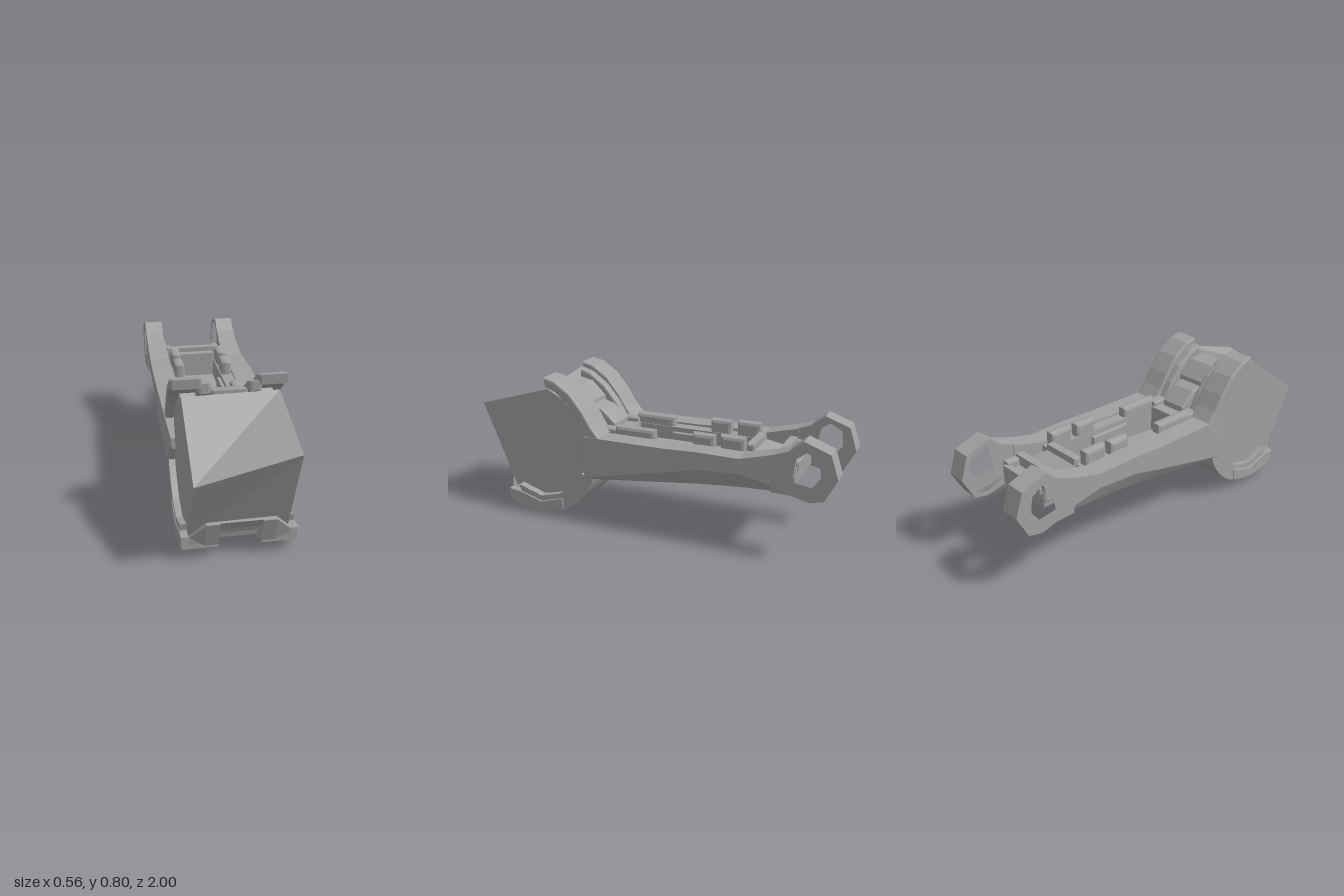
import * as THREE from 'three';

const grey = new THREE.MeshStandardMaterial({ color: 0xa0a0a0, flatShading: true });
grey.name = 'plain grey';

export function createModel() {
  const model = new THREE.Group();
  model.name = 'clampedArm';

  function add(name, geometry) {
    const mesh = new THREE.Mesh(geometry, grey);
    mesh.name = name;
    model.add(mesh);
    return mesh;
  }

  // Side profile of [z, y] points extruded across x, with optional bevel and hole
  function prism(name, profile, x0, x1, bevel = 0, hole = null) {
    const flip = (pts) => pts.map(([z, y]) => new THREE.Vector2(-z, y));
    const shape = new THREE.Shape(flip(profile));
    if (hole) shape.holes.push(new THREE.Path(flip(hole)));
    const geo = new THREE.ExtrudeGeometry(shape, {
      depth: x1 - x0 - 2 * bevel, bevelEnabled: bevel > 0, bevelSize: bevel,
      bevelThickness: bevel, bevelOffset: -bevel, bevelSegments: 2, steps: 1,
    });
    geo.rotateY(Math.PI / 2);
    geo.translate(x0 + bevel, 0, 0);
    return add(name, geo);
  }

  // Skin over convex cross-sections, closed at both ends, facing outward
  function loft(name, sections) {
    const n = sections[0].length;
    const tris = [];
    for (let s = 0; s < sections.length - 1; s++) {
      for (let i = 0; i < n; i++) {
        const j = (i + 1) % n;
        const [a, b, c, d] = [sections[s][i], sections[s][j], sections[s + 1][j], sections[s + 1][i]];
        tris.push([a, b, c], [a, c, d]);
      }
    }
    const first = sections[0], last = sections[sections.length - 1];
    for (let i = 1; i < n - 1; i++) {
      tris.push([first[0], first[i + 1], first[i]], [last[0], last[i], last[i + 1]]);
    }
    let volume = 0;
    for (const [a, b, c] of tris) {
      volume += new THREE.Vector3(...a).dot(new THREE.Vector3(...b).cross(new THREE.Vector3(...c)));
    }
    if (volume < 0) tris.forEach((t) => t.reverse());
    const geo = new THREE.BufferGeometry();
    geo.setAttribute('position', new THREE.Float32BufferAttribute(tris.flat(2), 3));
    geo.computeVertexNormals();
    return add(name, geo);
  }

  // Cross-section of [z, y] points standing at one x
  const slice = (x, pts) => pts.map(([z, y]) => [x, y, z]);

  // Block between x0 and x1, y0 and y1, z0 and z1 with softened edges
  function block(name, x0, x1, y0, y1, z0, z1, bevel = 0.01) {
    return prism(name, [[z0, y0], [z1, y0], [z1, y1], [z0, y1]], x0, x1, bevel);
  }

  // Runs a part builder in a symmetric x range on each side
  function bothSides(build) {
    build((a, b) => [a, b], 1, 'left');
    build((a, b) => [-b, -a], -1, 'right');
  }

  // Big head block with a round back and a slightly twisted front
  const roundBack = [[0.48, 0.675], [0.40, 0.60], [0.35, 0.50], [0.33, 0.38], [0.35, 0.26],
    [0.42, 0.15], [0.53, 0.10], [0.66, 0.09]];
  loft('headBlock', [
    slice(-0.24, [[0.81, 0.13], [1.0, 0.49], [0.63, 0.745], ...roundBack]),
    slice(0.23, [[0.80, 0.13], [0.995, 0.602], [0.57, 0.725], ...roundBack]),
  ]);

  // Round cradle under the head
  const arc = [];
  for (let i = 0; i <= 14; i++) {
    const a = THREE.MathUtils.degToRad(197 + i * 6.8);
    arc.push([0.61 + 0.335 * Math.cos(a), 0.372 + 0.337 * Math.sin(a)]);
  }
  prism('cradle', [...arc, [0.76, 0.165], [0.62, 0.12], [0.50, 0.15], [0.41, 0.22], [0.36, 0.29]], -0.272, 0.272);

  // Two feet at the front of the cradle, rising to a lip near the middle
  bothSides((r, s, side) => {
    prism(side + 'CradleFoot', [[0.48, 0.06], [0.56, 0.035], [0.65, 0.025], [0.74, 0.035], [0.825, 0.07],
      [0.825, 0.135], [0.76, 0.13], [0.62, 0.09], [0.48, 0.13]], ...r(0.10, 0.278), 0.006);
    const lip = [[0.74, 0.06], [0.822, 0.072], [0.868, 0.215], [0.80, 0.215]];
    loft(side + 'FootLip', [
      slice(s * 0.10, lip), slice(s * 0.163, lip),
      slice(s * 0.237, [[0.74, 0.06], [0.822, 0.072], [0.83, 0.135], [0.78, 0.135]]),
    ]);
  });
  const keelEdge = [[0.50, 0.06], [0.64, 0.026], [0.80, 0.07], [0.64, 0.09]];
  loft('leftFootKeel', [
    slice(0.105, keelEdge),
    slice(0.163, [[0.56, 0.03], [0.63, 0.003], [0.80, 0.07], [0.64, 0.09]]),
    slice(0.272, keelEdge),
  ]);
  prism('headLowerBar', [[0.74, 0.165], [0.83, 0.165], [0.86, 0.215], [0.74, 0.215]], -0.10, 0.10);

  // Curved clamp arms over the back of the head, with a stepped inner edge
  bothSides((r, s, side) => {
    prism(side + 'Clamp', [[0.565, 0.80], [0.50, 0.785], [0.41, 0.725], [0.34, 0.64], [0.29, 0.56],
      [0.245, 0.505], [0.31, 0.48], [0.36, 0.58], [0.43, 0.67], [0.50, 0.725], [0.56, 0.75]],
    ...r(0.135, 0.278), 0.01);
    prism(side + 'ClampStep', [[0.555, 0.77], [0.49, 0.75], [0.40, 0.685], [0.33, 0.60], [0.27, 0.50],
      [0.33, 0.48], [0.40, 0.59], [0.48, 0.67], [0.555, 0.72]], ...r(0.09, 0.15), 0.012);
    prism(side + 'ClampInnerFill', [[0.45, 0.69], [0.37, 0.61], [0.31, 0.50], [0.37, 0.48], [0.48, 0.66]],
      ...r(0.10, 0.225));
  });

  // Stepped latch blocks between the clamps
  prism('upperLatch', [[0.55, 0.73], [0.47, 0.715], [0.39, 0.64], [0.38, 0.58], [0.46, 0.60], [0.55, 0.70]],
    -0.085, 0.085, 0.01);
  prism('lowerLatch', [[0.41, 0.625], [0.33, 0.60], [0.25, 0.53], [0.24, 0.44], [0.36, 0.44], [0.42, 0.58]],
    -0.075, 0.075, 0.01);

  // Side walls of the arm, folded inward along the lower edge
  // Each station: z, top, fold, bottom, outer x, lower x
  const stations = [
    [0.38, 0.42, 0.38, 0.36, 0.262, 0.25],
    [0.33, 0.505, 0.28, 0.265, 0.282, 0.265],
    [-0.12, 0.505, 0.377, 0.309, 0.281, 0.24],
    [-0.30, 0.512, 0.42, 0.327, 0.28, 0.23],
    [-0.52, 0.508, 0.43, 0.348, 0.275, 0.235],
    [-0.70, 0.555, 0.39, 0.362, 0.27, 0.25],
  ];
  bothSides((r, s, side) => {
    loft(side + 'ArmWall', stations.map(([z, top, fold, bottom, outer, lower]) => [
      [s * 0.165, top, z], [s * outer, top, z], [s * outer, fold, z], [s * lower, bottom, z], [s * 0.165, bottom, z],
    ]));

    // Eye loop at the far end: a pierced outer plate with a thinner band inside it
    const rim = [[-0.68, 0.55], [-0.76, 0.58], [-0.83, 0.638], [-0.96, 0.59], [-1.0, 0.47],
      [-0.94, 0.355], [-0.87, 0.338], [-0.78, 0.36], [-0.68, 0.362]];
    prism(side + 'EyePlate', rim, ...r(0.235, 0.272), 0,
      [[-0.78, 0.43], [-0.80, 0.55], [-0.85, 0.585], [-0.91, 0.545], [-0.92, 0.47], [-0.88, 0.415]]);
    prism(side + 'EyeBand', rim, ...r(0.17, 0.235), 0,
      [[-0.76, 0.40], [-0.78, 0.56], [-0.835, 0.61], [-0.94, 0.57], [-0.97, 0.47], [-0.925, 0.38], [-0.87, 0.365]]);

    // Narrow ledge beside the channel and the pads on it
    prism(side + 'Ledge', [[0.28, 0.31], [0.28, 0.495], [-0.53, 0.495], [-0.53, 0.36]], ...r(0.10, 0.17));
    for (const [z0, z1, top] of [[-0.02, 0.21, 0.548], [-0.35, -0.23, 0.565], [-0.51, -0.38, 0.572]]) {
      block(side + 'Pad', ...r(0.105, 0.16), 0.48, top, z0, z1, 0.018);
    }
    block(side + 'CornerPad', ...r(0.085, 0.15), 0.47, 0.525, 0.19, 0.28);
    block(side + 'InnerRib', ...r(0.08, 0.105), 0.36, 0.47, -0.26, -0.02, 0.006);
  });

  // Channel floor and underside
  prism('armFloor', [[0.32, 0.275], [0.32, 0.35], [-0.64, 0.40], [-0.67, 0.372]], -0.235, 0.235);
  block('frontCrossPiece', -0.11, 0.11, 0.30, 0.50, 0.18, 0.27);
  block('rearCrossPiece', -0.11, 0.11, 0.37, 0.53, -0.545, -0.505);

  // Tapered web leading to the rear tray
  loft('rearWeb', [
    [[-0.10, 0.37, -0.53], [0.10, 0.37, -0.53], [0.10, 0.50, -0.53], [-0.10, 0.50, -0.53]],
    [[-0.165, 0.37, -0.67], [0.165, 0.37, -0.67], [0.165, 0.45, -0.67], [-0.165, 0.45, -0.67]],
  ]);
  block('rearTrayBase', -0.165, 0.165, 0.375, 0.46, -0.775, -0.64);
  block('rearTrayBar', -0.16, 0.16, 0.44, 0.515, -0.70, -0.66);
  block('rearTrayLip', -0.15, 0.15, 0.44, 0.485, -0.785, -0.755);
  bothSides((r, s, side) => block(side + 'TrayEnd', ...r(0.125, 0.17), 0.40, 0.50, -0.77, -0.65));

  return model;
}
